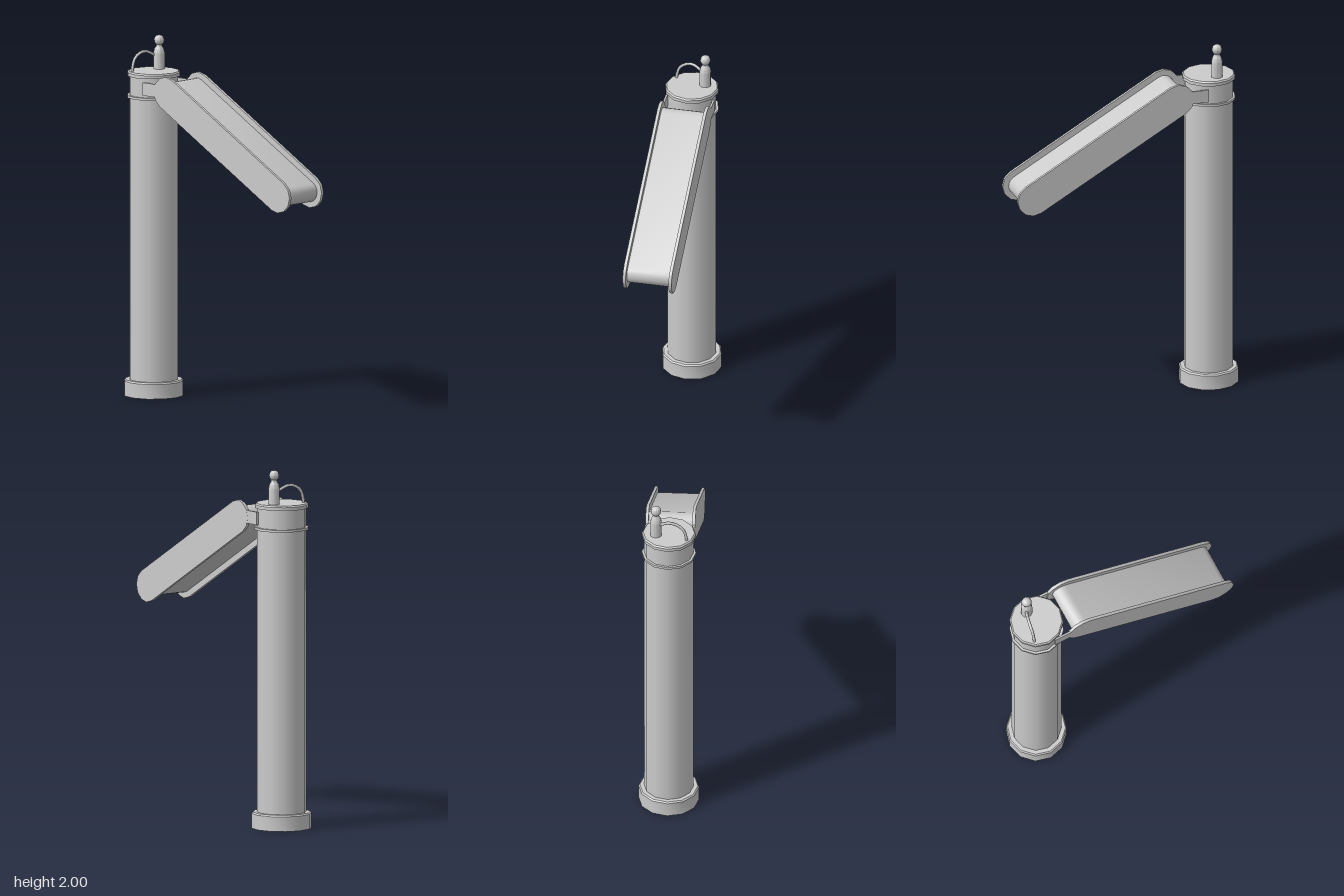
import * as THREE from 'three';
import { toCreasedNormals } from 'three/addons/utils/BufferGeometryUtils.js';

const SIDES = 12;
const POST_Z = -0.495;

export function createModel() {
  const model = new THREE.Group();
  const material = new THREE.MeshStandardMaterial({ color: 0xcccccc, side: THREE.DoubleSide });

  const add = (name, geometry, x = 0, y = 0, z = 0) => {
    const mesh = new THREE.Mesh(geometry, material);
    mesh.name = name;
    mesh.position.set(x, y, z);
    model.add(mesh);
    return mesh;
  };
  const lathe = (profile, sides = SIDES) => toCreasedNormals(
    new THREE.LatheGeometry(profile.map(([r, y]) => new THREE.Vector2(r, y)), sides), 0.65);

  // Hollow post, open at the bottom
  add('post', new THREE.CylinderGeometry(0.137, 0.137, 1.72, SIDES, 1, true), 0, 0.93, POST_Z);

  // Base collar with a small bevel
  add('baseCollar', lathe([[0.137, 0.07], [0.137, 0], [0.167, 0], [0.167, 0.082],
    [0.16, 0.09], [0.137, 0.09]]), 0, 0, POST_Z);

  // Lid and the thin ring under it
  add('lid', lathe([[0.137, 1.785], [0.149, 1.785], [0.149, 1.803], [0.142, 1.811], [0, 1.811]]), 0, 0, POST_Z);
  add('ring', lathe([[0.136, 1.664], [0.15, 1.664], [0.15, 1.678], [0.136, 1.678]]), 0, 0, POST_Z);

  // Small pin with a ball head on the lid
  add('pin', lathe([[0.032, 1.805], [0.032, 1.9], [0.027, 1.922], [0.017, 1.938], [0.017, 1.947],
    [0.026, 1.958], [0.029, 1.972], [0.024, 1.989], [0.013, 1.998], [0, 2]], 10), 0.07, 0, -0.52);

  // Bent wire between lid and pin
  const wire = new THREE.CatmullRomCurve3([
    [-0.102, 1.805, -0.562], [-0.095, 1.85, -0.562], [-0.075, 1.889, -0.56],
    [-0.015, 1.915, -0.552], [0.035, 1.896, -0.537], [0.06, 1.875, -0.525],
  ].map((p) => new THREE.Vector3(...p)));
  add('wire', new THREE.TubeGeometry(wire, 10, 0.0085, 6));

  // Sloping arm: round-ended outline from the lower end to the upper end
  const low = new THREE.Vector2(0.573, 1.237);
  const high = new THREE.Vector2(-0.275, 1.722);
  const slope = Math.atan2(high.y - low.y, high.x - low.x);
  const capsule = (radius, width, segments, x) => {
    const points = [];
    for (const [centre, start] of [[high, slope - Math.PI / 2], [low, slope + Math.PI / 2]]) {
      for (let i = 0; i <= segments; i++) {
        const a = start + (i / segments) * Math.PI;
        points.push(new THREE.Vector2(centre.x + radius * Math.cos(a), centre.y + radius * Math.sin(a)));
      }
    }
    const geometry = new THREE.ExtrudeGeometry(new THREE.Shape(points), { depth: width, bevelEnabled: false });
    // Shape x becomes model z, extrusion becomes model -x
    geometry.rotateY(-Math.PI / 2).translate(x + width / 2, 0, 0);
    return toCreasedNormals(geometry, 0.75);
  };
  add('belt', capsule(0.057, 0.25, 8, 0));

  // Side plates of the arm and the straps holding it to the post
  for (const [side, s] of [['left', 1], ['right', -1]]) {
    add(side + 'SidePlate', capsule(0.091, 0.017, 6, s * 0.1295));
    add(side + 'Strap', new THREE.BoxGeometry(0.011, 0.072, 0.17), s * 0.132, 1.728, -0.365);
  }
  return model;
}
